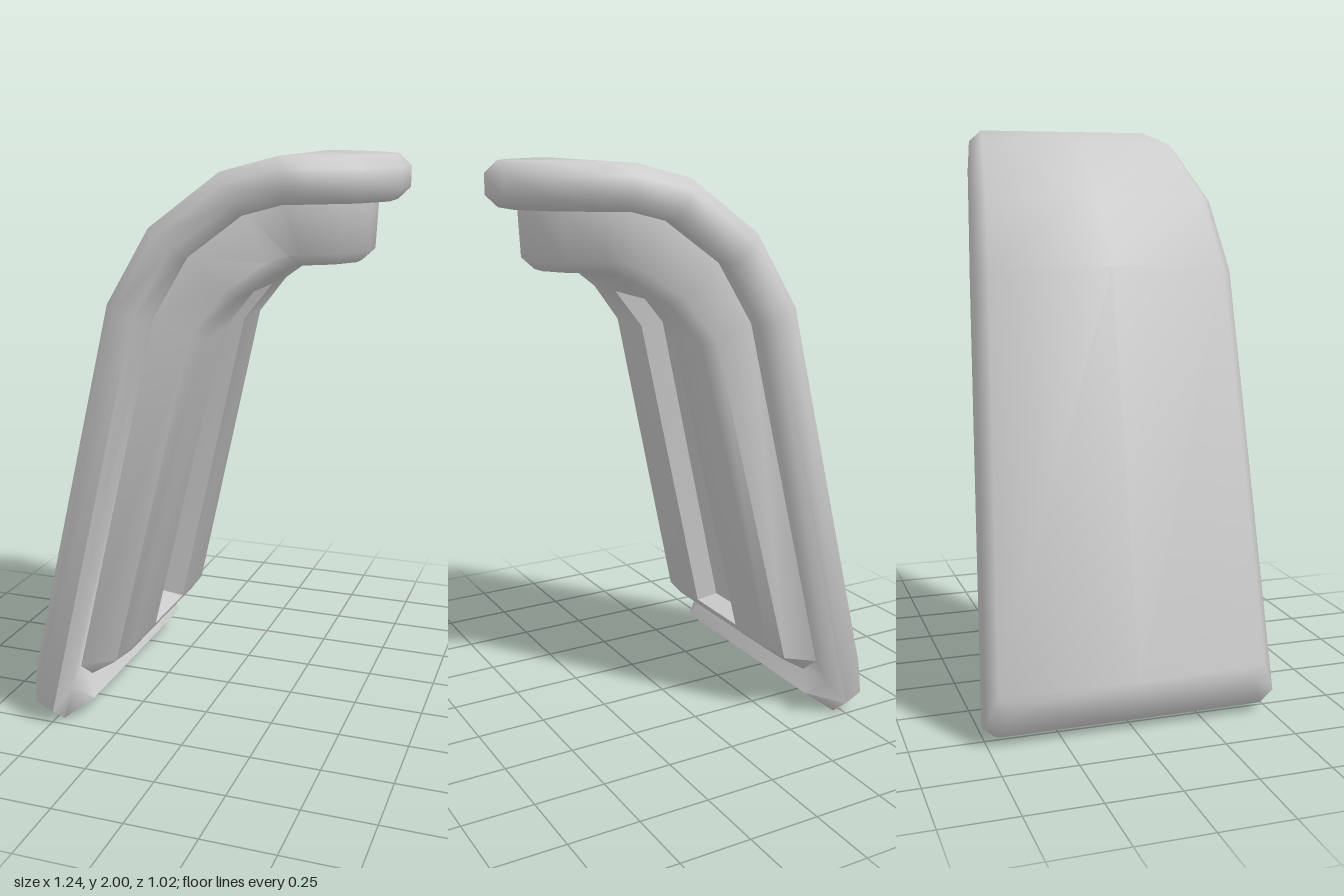
import * as THREE from 'three';
import { toCreasedNormals } from 'three/addons/utils/BufferGeometryUtils.js';

// Stations along the bent spine, foot to nose:
// x, y, half width, crown, body depth factor, inset pull along spine, inset pull across, recess half width
const STATIONS = [
  [-0.609, 0.033, 0.46, 0.035, 0.86, 1, 1, 0.14],
  [-0.6, 0.072, 0.508, 0.035, 0.86, 1, 1, 0.14],
  [-0.28, 1.52, 0.455, 0.03, 0.9, 0, 1, 0.115],
  [-0.14, 1.77, 0.43, 0.012, 0.98, 0, 1, 0.11],
  [0.09, 1.95, 0.39, 0, 1, 0, 1, 0.11],
  [0.28, 2.0, 0.353, 0, 1, -0.3, 1, 0.11],
  [0.37, 2.0, 0.335, 0, 1, -0.396, 0.94, 0.11],
  [0.525, 2.0, 0.23, 0, 1, -0.733, 0.711, 0.11],
  [0.62, 2.0, 0.08, 0, 1, -1, 0.29, 0.11],
].map(([x, y, w, crown, deep, along, across, slot]) => ({ p: new THREE.Vector2(x, y), w, crown, deep, along, across, slot }));
const LAST = STATIONS.length - 1;

// Tangent and mitred inward normal of the spine at each station
STATIONS.forEach((s, i) => {
  const dir = (a, b) => STATIONS[b].p.clone().sub(STATIONS[a].p).normalize();
  const before = i > 0 ? dir(i - 1, i) : dir(0, 1);
  const after = i < LAST ? dir(i, i + 1) : before;
  s.t = before.clone().add(after).normalize();
  s.n = new THREE.Vector2(s.t.y, -s.t.x).divideScalar(s.t.dot(after));
});

// Cross-section layers: side inset, side depth, foot inset, foot depth
const RIM = [
  [0.04, 0, 0.11, 0],
  [0, 0.04, 0.015, 0.05],
  [0, 0.11, 0, 0.14],
  [0.04, 0.15, 0.1, 0.223],
  [0.1, 0.145, 0.155, 0.175],
];
const BODY = [
  RIM[4],
  [0.108, 0.315, 0.225, 0.285],
  [0.15, 0.355, 0.276, 0.335],
];
const RIDGE = BODY[2];
const SLOT_DEPTH = 0.08;

// Point of a layer at a station; z defaults to the outline, lift moves it outward
function point(layer, i, side, z, lift = 0) {
  const s = STATIONS[i];
  const [inset, depth, footInset, footDepth] = layer;
  let d = i === 0 ? footDepth : depth;
  if (depth > 0.2) d *= s.deep;
  const slide = s.along * (i < 2 ? footInset : inset);
  const p = s.p.clone().addScaledVector(s.t, slide).addScaledVector(s.n, d - lift);
  return new THREE.Vector3(p.x, p.y, side * (z ?? s.w - inset * s.across));
}

// Closed outline loop of one layer
function outline(layer) {
  const crown = layer === RIM[0] ? STATIONS[0].crown : 0;
  const ids = STATIONS.map((_, i) => i);
  return [
    point(layer, 0, 1, 0, crown),
    ...ids.map((i) => point(layer, i, 1)),
    ...ids.reverse().map((i) => point(layer, i, -1)),
  ];
}

function addQuad(out, a, b, c, d) {
  for (const v of [a, b, c, a, c, d]) out.push(v.x, v.y, v.z);
}

// Skin between successive closed loops
function addLoops(out, loops) {
  for (let k = 0; k + 1 < loops.length; k++) {
    const A = loops[k], B = loops[k + 1];
    A.forEach((a, j) => {
      const n = (j + 1) % A.length;
      addQuad(out, a, B[j], B[n], A[n]);
    });
  }
}

// Skin between rows running across z, optionally leaving some cells open
function addRows(out, rows, skip = () => false) {
  for (let i = 0; i + 1 < rows.length; i++) {
    for (let k = 0; k + 1 < rows[i].length; k++) {
      if (!skip(i, k)) addQuad(out, rows[i][k], rows[i][k + 1], rows[i + 1][k + 1], rows[i + 1][k]);
    }
  }
}

function makeMesh(name, positions, crease) {
  const geo = new THREE.BufferGeometry();
  geo.setAttribute('position', new THREE.Float32BufferAttribute(positions, 3));
  const mesh = new THREE.Mesh(
    toCreasedNormals(geo, crease),
    new THREE.MeshStandardMaterial({ color: 0xcccccc, side: THREE.DoubleSide })
  );
  mesh.name = name;
  return mesh;
}

export function createModel() {
  const group = new THREE.Group();
  group.name = 'curvedCover';

  // Crowned outer plate with its rolled rim
  const shell = [];
  addRows(shell, STATIONS.map((s, i) => [
    point(RIM[0], i, -1), point(RIM[0], i, 1, 0, s.crown), point(RIM[0], i, 1),
  ]));
  addLoops(shell, RIM.map(outline));
  group.add(makeMesh('outerPlateAndRim', shell, 1.1));

  // Raised inner body, its face left open over the slot
  const body = [];
  addLoops(body, BODY.map(outline));
  const slotZ = (i) => Math.min(STATIONS[i].slot, point(RIDGE, i, 1).z * 0.6);
  addRows(body, STATIONS.map((_, i) => [
    point(RIDGE, i, 1), point(RIDGE, i, 1, slotZ(i)),
    point(RIDGE, i, -1, slotZ(i)), point(RIDGE, i, -1),
  ]), (i, k) => k === 1 && (i === 1 || i === 2));
  group.add(makeMesh('innerBody', body, 1.0));

  // Long sunken slot: walls and floor
  const slot = [];
  const ids = [1, 2, 3];
  const ring = (draft, lift) => [
    ...ids.map((i) => point(RIDGE, i, 1, slotZ(i) - draft, lift)),
    ...[...ids].reverse().map((i) => point(RIDGE, i, -1, slotZ(i) - draft, lift)),
  ];
  const floor = ring(0.015, SLOT_DEPTH);
  addLoops(slot, [ring(0, 0), floor]);
  addRows(slot, ids.map((_, k) => [floor[k], floor[5 - k]]));
  group.add(makeMesh('slot', slot, 0.7));

  return group;
}
